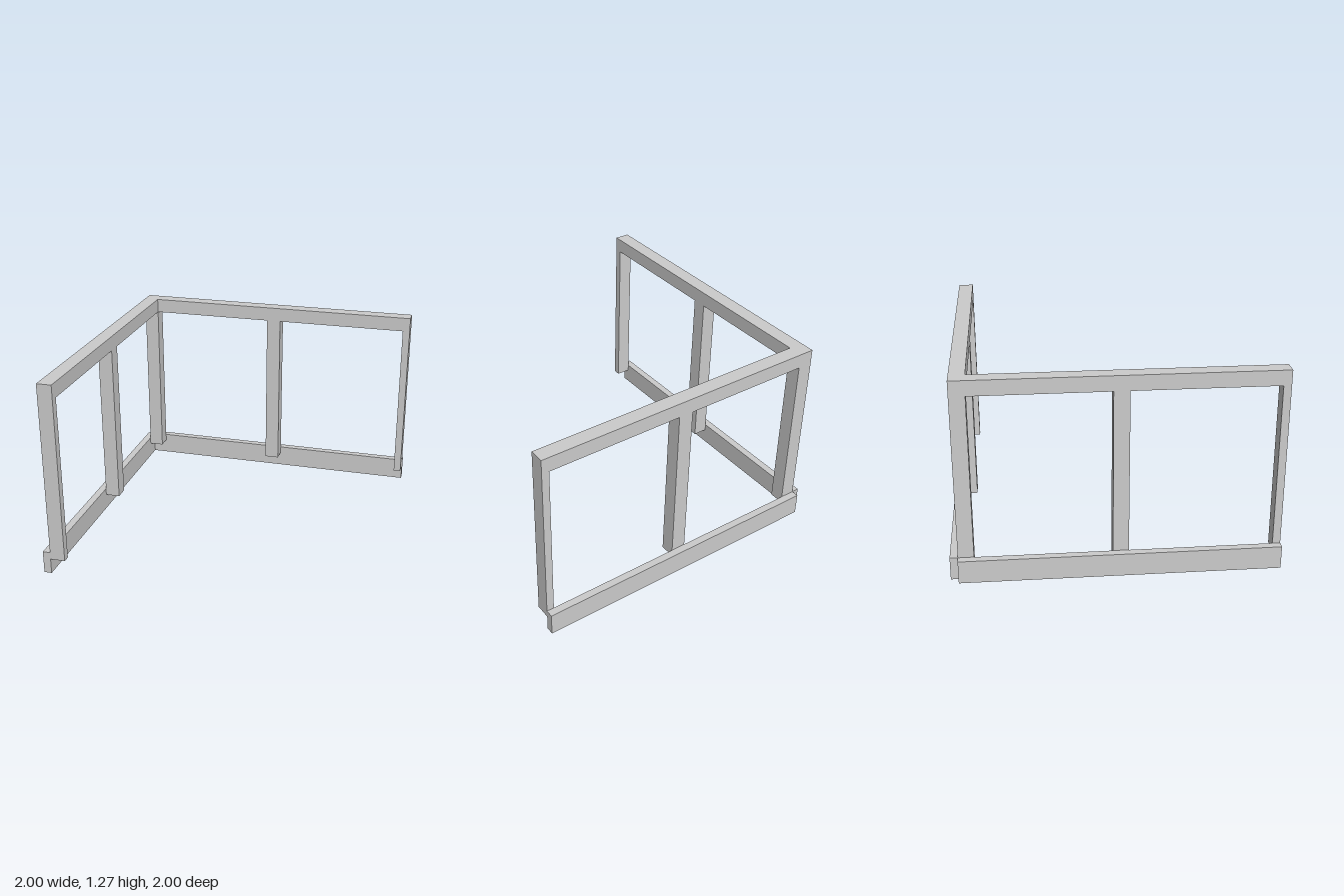
import * as THREE from 'three';

const material = new THREE.MeshStandardMaterial({ color: 0xcccccc });

// Main levels: outer board face, frame outer face, frame inner face
const OUT = -1, FACE = -0.951, INNER = -0.855;
const BOARD_TOP = 0.146, POST_BOTTOM = 0.1, RAIL_BOTTOM = 1.175, TOP = 1.27;

export function createModel() {
  const model = new THREE.Group();

  // Box between two extents along the wall (a), in height (y) and across the wall (d)
  function beam(parent, name, alongX, [a0, a1], [y0, y1], [d0, d1]) {
    const a = a1 - a0, d = d1 - d0, am = (a0 + a1) / 2, dm = (d0 + d1) / 2;
    const mesh = new THREE.Mesh(
      new THREE.BoxGeometry(alongX ? a : d, y1 - y0, alongX ? d : a), material);
    mesh.position.set(alongX ? am : dm, (y0 + y1) / 2, alongX ? dm : am);
    mesh.name = name;
    parent.add(mesh);
  }

  // Two matching walls meeting at the back right corner
  for (const alongX of [true, false]) {
    const wall = new THREE.Group();
    wall.name = alongX ? 'backWall' : 'rightWall';
    const depth = [FACE, INNER], height = [POST_BOTTOM, RAIL_BOTTOM];
    beam(wall, 'bottomBoard', alongX, [FACE, 1], [0, BOARD_TOP], [OUT, FACE]);
    beam(wall, 'topRail', alongX, [alongX ? FACE : INNER, 1], [RAIL_BOTTOM, TOP], depth);
    beam(wall, 'middlePost', alongX, [-0.024, 0.072], height, depth);
    beam(wall, 'endPost', alongX, [0.952, 1], height, depth);
    model.add(wall);
  }

  // Shared corner post
  beam(model, 'cornerPost', true, [FACE, INNER], [POST_BOTTOM, RAIL_BOTTOM], [FACE, INNER]);

  return model;
}
